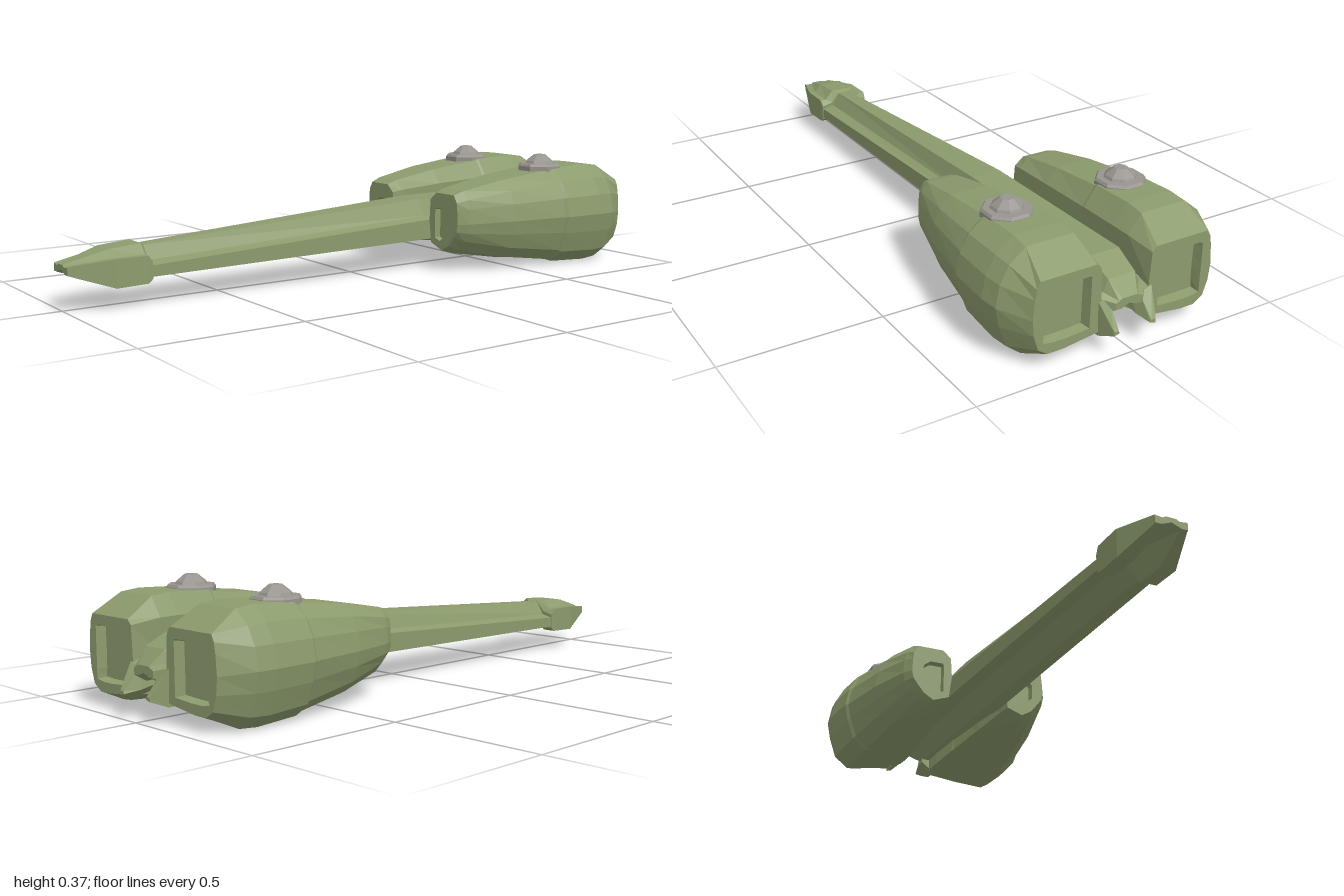
import * as THREE from 'three';

const green = new THREE.MeshStandardMaterial({ color: 0x8c9b6d });
green.name = 'olive green';
const grey = new THREE.MeshStandardMaterial({ color: 0x98948e });
grey.name = 'warm grey';

// Faceted skin through cross-sections {z, pts}, front to back; pts run counter-clockwise seen from +z.
function loft(sections) {
  const pos = [];
  const put = (s, i) => {
    const p = s.pts[i % s.pts.length];
    pos.push(p[0], p[1], s.z);
  };
  const n = sections[0].pts.length;
  for (let j = 0; j + 1 < sections.length; j++) {
    const s = sections[j], t = sections[j + 1];
    for (let i = 0; i < n; i++) {
      put(s, i); put(t, i); put(s, i + 1);
      put(s, i + 1); put(t, i); put(t, i + 1);
    }
  }
  const cap = (s, front) => {
    const v = s.pts.map((p) => new THREE.Vector2(p[0], p[1]));
    for (const [a, b, c] of THREE.ShapeUtils.triangulateShape(v, [])) {
      const ccw = (v[b].x - v[a].x) * (v[c].y - v[a].y) - (v[b].y - v[a].y) * (v[c].x - v[a].x) > 0;
      const order = ccw === front ? [a, b, c] : [a, c, b];
      order.forEach((i) => put(s, i));
    }
  };
  cap(sections[0], true);
  cap(sections[sections.length - 1], false);
  const g = new THREE.BufferGeometry();
  g.setAttribute('position', new THREE.Float32BufferAttribute(pos, 3));
  g.computeVertexNormals();
  return g;
}

const mesh = (name, geometry, material) => {
  const m = new THREE.Mesh(geometry, material);
  m.name = name;
  return m;
};
const mirrored = (sections) =>
  sections.map((s) => ({ z: s.z, pts: s.pts.map(([x, y]) => [-x, y]).reverse() }));
const mix = (a, b, t) => a.map((p, i) => [p[0] + (b[i][0] - p[0]) * t, p[1] + (b[i][1] - p[1]) * t]);

// Boom section from its right half, listed top to bottom, ending on the centre line.
const arch = (z, ...half) => {
  const sides = half.slice(0, -1);
  const left = sides.map(([x, y]) => [-x, y]);
  return { z, pts: [...sides.slice().reverse(), ...left, half[half.length - 1]] };
};

// Pod outlines: window, front rim, widest, rear rim, rear recess.
const WINDOW = [[.205, .165], [.205, .185], [.2, .195], [.18, .21], [.135, .21], [.13, .205],
  [.13, .165], [.13, .108], [.155, .1], [.175, .115], [.195, .13], [.205, .14]];
const FRONT = [[.245, .165], [.243, .21], [.24, .235], [.225, .26], [.135, .26], [.105, .235],
  [.1, .165], [.11, .09], [.165, .07], [.2, .09], [.225, .12], [.24, .14]];
const WIDE = [[.363, .17], [.35, .235], [.32, .29], [.265, .333], [.115, .333], [.072, .27],
  [.077, .17], [.06, .052], [.235, .004], [.275, 0], [.325, .04], [.35, .11]];
const REAR = [[.3, .16], [.295, .22], [.29, .25], [.28, .27], [.1, .27], [.085, .255],
  [.08, .16], [.08, .06], [.2, .045], [.25, .045], [.28, .065], [.295, .11]];
const RECESS = [[.265, .16], [.265, .2], [.265, .235], [.25, .24], [.12, .24], [.115, .235],
  [.115, .16], [.115, .08], [.19, .075], [.23, .075], [.265, .08], [.265, .11]];
const POD = [
  { z: -.275, pts: mix(WINDOW, FRONT, -.1) },
  { z: -.255, pts: WINDOW },
  { z: -.255, pts: FRONT },
  { z: -.29, pts: mix(FRONT, WIDE, .17) },
  { z: -.45, pts: mix(FRONT, WIDE, .56) },
  { z: -.645, pts: mix(FRONT, WIDE, .85) },
  { z: -.655, pts: mix(FRONT, WIDE, .92) },
  { z: -.8, pts: WIDE },
  { z: -.86, pts: mix(WIDE, REAR, .1) },
  { z: -.95, pts: REAR },
  { z: -.95, pts: RECESS },
  { z: -.92, pts: mix(RECESS, REAR, -.2) },
];

// Spike at the rear end of the boom
const FIN = [
  { z: -.9, pts: [[.09, .05], [.095, .17], [.045, .16], [.04, .09]] },
  { z: -.95, pts: [[.085, .048], [.09, .155], [.05, .14], [.04, .08]] },
  { z: -1, pts: [[.07, .068], [.07, .08], [.055, .08], [.052, .072]] },
];

export function createModel() {
  const model = new THREE.Group();
  model.name = 'twinPodCraft';

  // Long tapering boom with side flanges and a grooved underside
  model.add(mesh('boom', loft([
    arch(.78, [.02, .17], [.045, .127], [.085, .118], [.085, .085], [.045, .085], [0, .12]),
    arch(-.25, [.05, .23], [.072, .175], [.1, .165], [.1, .1], [.05, .1], [0, .135]),
    arch(-.85, [.05, .235], [.072, .175], [.1, .165], [.1, .1], [.05, .1], [0, .135]),
    arch(-.93, [.045, .2], [.06, .165], [.085, .155], [.085, .1], [.045, .1], [0, .135]),
    arch(-.97, [.025, .155], [.035, .15], [.045, .145], [.045, .125], [.025, .125], [0, .135]),
  ]), green));

  // Nose at the front end of the boom
  model.add(mesh('nose', loft([
    arch(.995, [.015, .138], [.025, .132], [.05, .135], [.05, .108], [.03, .108], [0, .122]),
    arch(1, [.015, .136], [.025, .13], [.05, .133], [.05, .11], [.03, .11], [0, .122]),
  ].reverse().concat([
    arch(.87, [.04, .172], [.068, .15], [.09, .15], [.09, .065], [.042, .065], [0, .12]),
    arch(.77, [.04, .18], [.07, .15], [.09, .15], [.09, .068], [.042, .068], [0, .12]),
    arch(.755, [.022, .172], [.05, .14], [.088, .13], [.088, .08], [.045, .08], [0, .12]),
  ])), green));

  const domeProfile = [[0, .3], [.076, .3], [.076, .332], [.07, .34], [.05, .34], [.046, .348], [.02, .369], [0, .369]]
    .map(([r, y]) => new THREE.Vector2(r, y));

  for (const [side, s] of [['left', 1], ['right', -1]]) {
    const place = (sections) => loft(s > 0 ? sections : mirrored(sections));
    model.add(mesh(side + 'Pod', place(POD), green));
    model.add(mesh(side + 'TailFin', place(FIN), green));

    // Turret dome on top of the pod
    const g = new THREE.LatheGeometry(domeProfile, 8, Math.PI / 8).toNonIndexed();
    g.computeVertexNormals();
    const dome = mesh(side + 'Dome', g, grey);
    dome.position.set(s * .195, 0, -.662);
    model.add(dome);
  }
  return model;
}
